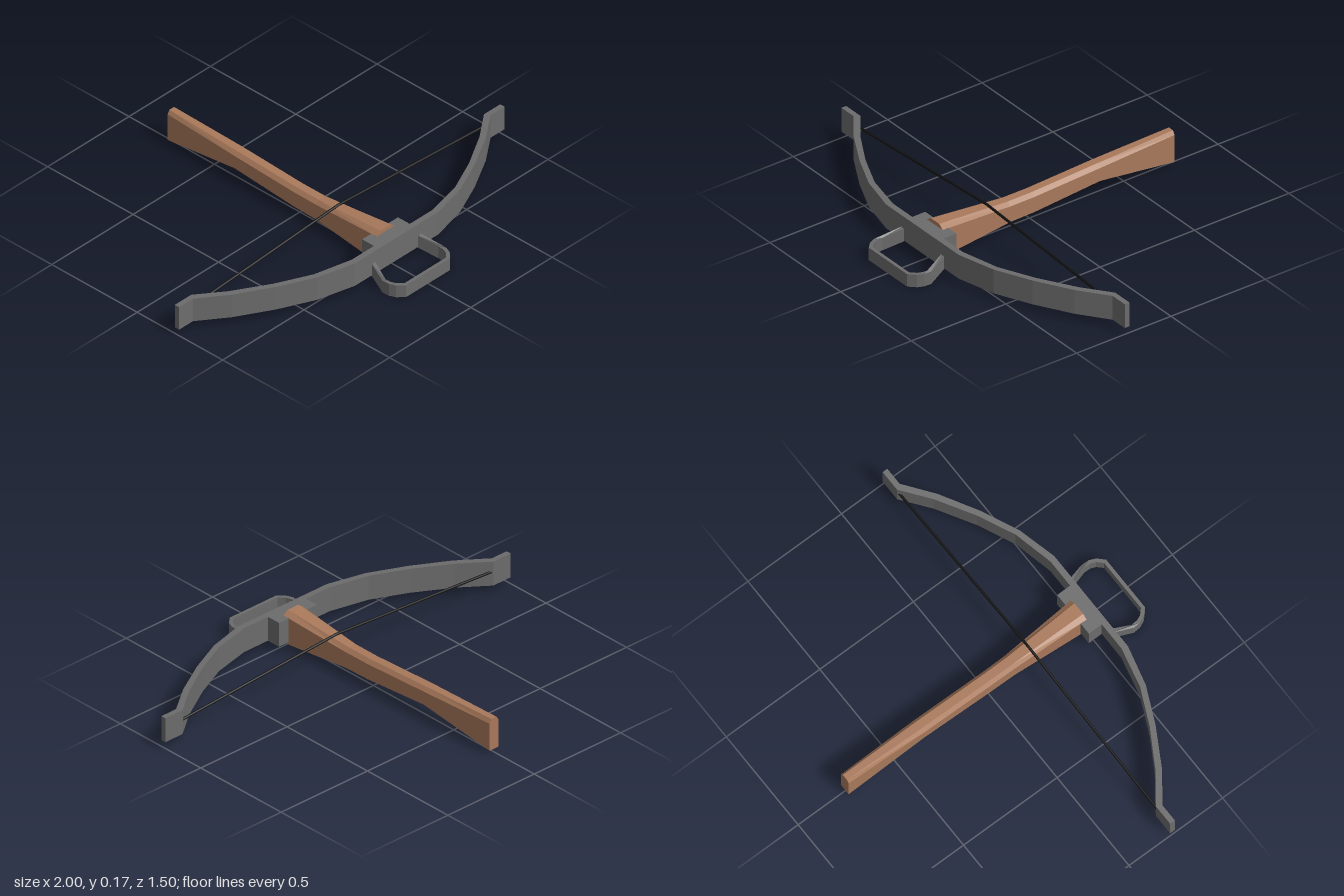
import * as THREE from 'three';

const steel = new THREE.MeshStandardMaterial({ color: 0x6c6c6c, name: 'steel' });
const wood = new THREE.MeshStandardMaterial({ color: 0xa9795b, name: 'wood' });
const cord = new THREE.MeshStandardMaterial({ color: 0x111111, name: 'cord' });

function addMesh(group, name, geometry, material) {
  const mesh = new THREE.Mesh(geometry, material);
  mesh.name = name;
  group.add(mesh);
  return mesh;
}

// Symmetric band: outer and inner [x, z] edges of the +x half, mirrored and raised by height
function bandGeometry(outer, inner, height) {
  const mirror = (pts) => pts.map(([x, z]) => [-x, z]).reverse();
  const outline = [...outer, ...mirror(outer), ...mirror([...inner].reverse()), ...[...inner].reverse()];
  // walk: outer +x to -x, then inner -x back to +x
  const ring = [...outer, ...mirror(outer), ...inner.map(([x, z]) => [-x, z]), ...[...inner].reverse()];
  const shape = new THREE.Shape(ring.slice(0, outline.length).map(([x, z]) => new THREE.Vector2(x, -z)));
  return new THREE.ExtrudeGeometry(shape, { depth: height, bevelEnabled: false }).rotateX(-Math.PI / 2);
}

// Stock lofted through sections [z, half width, bottom, top], with chamfered upper edges
function stockGeometry() {
  const stations = [
    [0.5, 0.055, 0.016, 0.168],
    [0.13, 0.036, 0.044, 0.139],
    [0, 0.035, 0.046, 0.139],
    [-0.35, 0.035, 0.073, 0.155],
    [-0.75, 0.026, 0.016, 0.168],
  ];
  const rings = stations.map(([z, w, b, t]) =>
    [[w, b], [w, t - 0.018], [w * 0.55, t], [-w * 0.55, t], [-w, t - 0.018], [-w, b]].map(([x, y]) => [x, y, z]));
  const pos = [];
  const n = rings[0].length;
  for (let i = 0; i < rings.length - 1; i++) {
    for (let j = 0; j < n; j++) {
      const k = (j + 1) % n;
      const a = rings[i][j], b = rings[i][k], c = rings[i + 1][k], d = rings[i + 1][j];
      pos.push(...a, ...d, ...b, ...b, ...d, ...c);
    }
  }
  const front = rings[0], back = rings[rings.length - 1];
  for (let j = 1; j < n - 1; j++) {
    pos.push(...front[0], ...front[j], ...front[j + 1]);
    pos.push(...back[0], ...back[j + 1], ...back[j]);
  }
  const geo = new THREE.BufferGeometry();
  geo.setAttribute('position', new THREE.Float32BufferAttribute(pos, 3));
  geo.computeVertexNormals();
  return geo;
}

export function createModel() {
  const model = new THREE.Group();
  model.name = 'crossbow';

  addMesh(model, 'stock', stockGeometry(), wood);

  // Bow limbs with flat tips
  const bow = bandGeometry(
    [[1, 0.245], [0.915, 0.245], [0.78, 0.345], [0.61, 0.442], [0.44, 0.52], [0.257, 0.566]],
    [[1, 0.22], [0.9, 0.22], [0.77, 0.318], [0.6, 0.418], [0.433, 0.495], [0.247, 0.538]], 0.118);
  addMesh(model, 'bow', bow.translate(0, 0.031, 0), steel);

  // Mounting block behind the bow
  addMesh(model, 'mountingBlock', new THREE.BoxGeometry(0.22, 0.118, 0.075), steel).position.set(0, 0.09, 0.5065);

  // Foot stirrup, its ends sloping up to the bow
  const stirrup = bandGeometry(
    [[0.147, 0.55], [0.18, 0.655], [0.178, 0.69], [0.165, 0.72], [0.135, 0.75]],
    [[0.125, 0.55], [0.163, 0.655], [0.162, 0.685], [0.152, 0.71], [0.128, 0.734]], 0.062);
  const p = stirrup.attributes.position;
  for (let i = 0; i < p.count; i++) p.setY(i, p.getY(i) + Math.max(0, 0.655 - p.getZ(i)) * 0.31);
  stirrup.computeVertexNormals();
  addMesh(model, 'stirrup', stirrup, steel);

  // Bowstring, raised over the stock in the middle
  const middle = new THREE.Vector3(0, 0.154, 0.229);
  for (const side of [-1, 1]) {
    const tip = new THREE.Vector3(side * 0.915, 0.095, 0.229);
    const dir = tip.clone().sub(middle);
    const half = addMesh(model, side > 0 ? 'leftString' : 'rightString',
      new THREE.CylinderGeometry(0.006, 0.006, dir.length(), 8), cord);
    half.position.copy(middle).addScaledVector(dir, 0.5);
    half.quaternion.setFromUnitVectors(new THREE.Vector3(0, 1, 0), dir.normalize());
  }
  return model;
}
